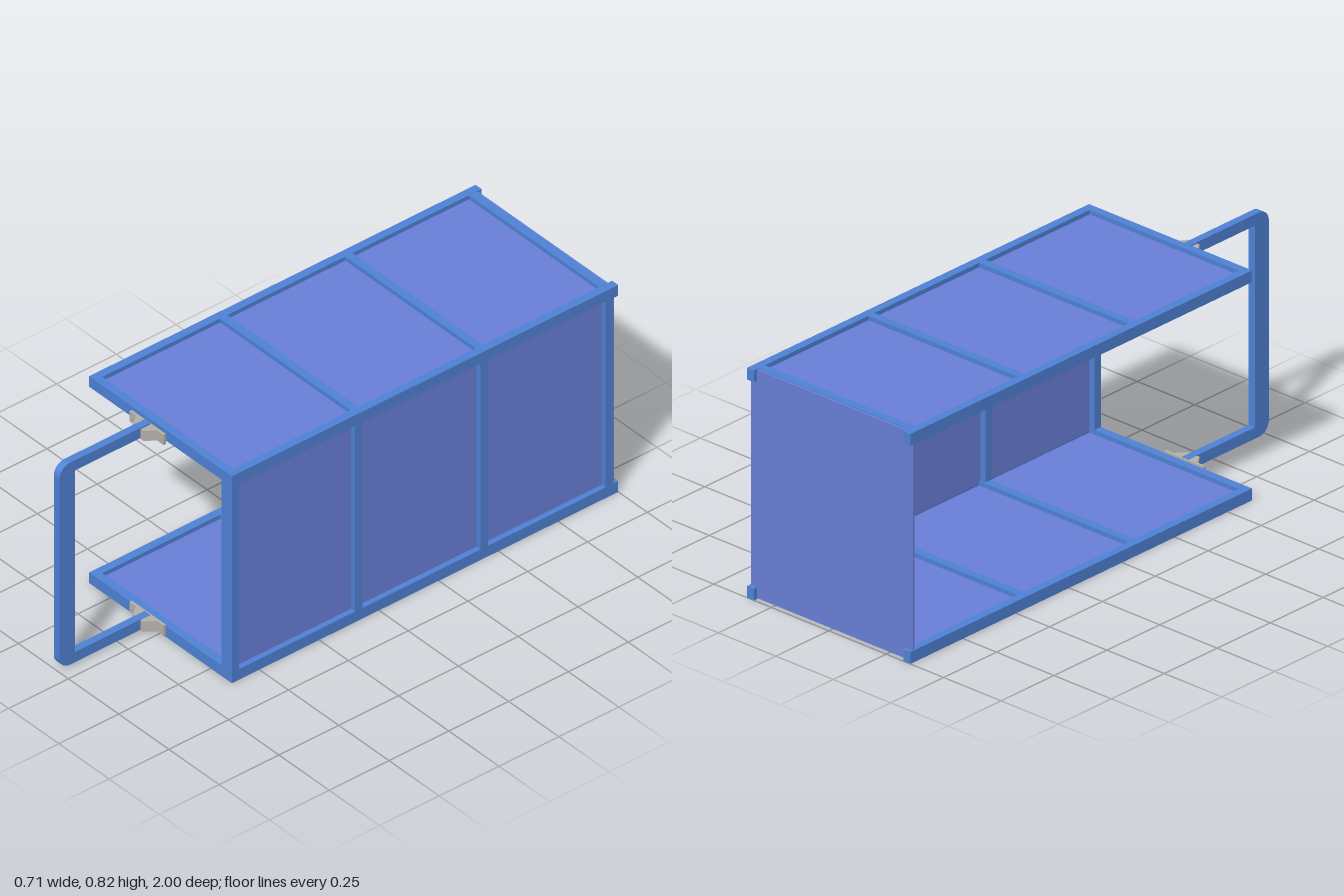
import * as THREE from 'three';

const frameMat = new THREE.MeshStandardMaterial({ color: 0x4f82d6 });
const panelMat = new THREE.MeshStandardMaterial({ color: 0x6a7fd8 });
const bracketMat = new THREE.MeshStandardMaterial({ color: 0xb4b1aa });

const W = 0.355, H = 0.82, FRONT = 0.615, BACK = -0.985, BAR = 0.03, RAIL = 0.042;

// Box given by its minimum and maximum corners
function box(parent, name, mat, [x0, y0, z0], [x1, y1, z1]) {
  const mesh = new THREE.Mesh(new THREE.BoxGeometry(x1 - x0, y1 - y0, z1 - z0), mat);
  mesh.position.set((x0 + x1) / 2, (y0 + y1) / 2, (z0 + z1) / 2);
  mesh.name = name;
  parent.add(mesh);
}

// Horizontal frame with two long rails, cross bars and recessed sheet
function deck(name, y) {
  const g = new THREE.Group();
  g.name = name;
  for (const [x0, x1] of [[-W, BAR - W], [W - BAR, W]])
    box(g, 'longRail', frameMat, [x0, y, -1], [x1, y + RAIL, FRONT]);
  for (const z of [FRONT - BAR, 0.063, -0.46, BACK + 0.008])
    box(g, 'crossBar', frameMat, [BAR - W, y, z], [W - BAR, y + RAIL, z + BAR]);
  box(g, 'deckPanel', panelMat, [BAR - W, y + 0.016, BACK + 0.02], [W - BAR, y + 0.026, FRONT - 0.02]);
  return g;
}

// Closed side on the left
function sideWall() {
  const g = new THREE.Group();
  g.name = 'sideWall';
  for (const z of [FRONT - BAR, 0.07, -0.455, BACK + 0.008])
    box(g, 'sidePost', frameMat, [W - 0.052, RAIL, z], [W, H - RAIL, z + BAR]);
  box(g, 'sidePanel', panelMat, [W - 0.03, RAIL - 0.01, BACK + 0.02], [W - 0.02, H - RAIL + 0.01, FRONT - 0.02]);
  return g;
}

// Flat U-shaped handle with rounded outer corners
function handle() {
  const z0 = 0.62, z1 = 1, y0 = 0.01, y1 = 0.81, t = 0.04, inner = 0.935, r = 0.045;
  const s = new THREE.Shape();
  s.moveTo(z0, y0);
  s.lineTo(z1 - r, y0);
  s.absarc(z1 - r, y0 + r, r, -Math.PI / 2, 0, false);
  s.lineTo(z1, y1 - r);
  s.absarc(z1 - r, y1 - r, r, 0, Math.PI / 2, false);
  s.lineTo(z0, y1);
  s.lineTo(z0, y1 - t);
  s.lineTo(inner, y1 - t);
  s.lineTo(inner, y0 + t);
  s.lineTo(z0, y0 + t);
  s.closePath();
  const geo = new THREE.ExtrudeGeometry(s, { depth: 0.028, bevelEnabled: false, curveSegments: 8 });
  geo.rotateY(-Math.PI / 2).translate(-0.045, 0, 0);
  const mesh = new THREE.Mesh(geo, frameMat);
  mesh.name = 'handle';
  return mesh;
}

// Hat-shaped clamp with a bolt in each flange
function bracket(y) {
  const g = new THREE.Group();
  g.name = 'handleBracket';
  const half = [[0.085, 0], [0.085, 0.01], [0.052, 0.01], [0.027, 0.045]];
  const pts = [...half.map(([x, z]) => [x, z]), ...half.map(([x, z]) => [-x, z]).reverse()];
  const shape = new THREE.Shape(pts.map(([x, z]) => new THREE.Vector2(x, z)));
  const geo = new THREE.ExtrudeGeometry(shape, { depth: 0.04, bevelEnabled: false });
  geo.rotateX(Math.PI / 2).translate(0, 0.02, 0);
  const clamp = new THREE.Mesh(geo, bracketMat);
  clamp.name = 'clamp';
  g.add(clamp);
  for (const x of [-0.072, 0.072]) {
    const bolt = new THREE.Mesh(new THREE.CylinderGeometry(0.005, 0.005, 0.012, 12), bracketMat);
    bolt.rotation.x = Math.PI / 2;
    bolt.position.set(x, 0, 0.006);
    bolt.name = 'bolt';
    g.add(bolt);
  }
  g.position.set(-0.058, y, FRONT);
  return g;
}

export function createModel() {
  const model = new THREE.Group();
  model.name = 'panelledFrame';
  model.add(deck('bottomDeck', 0), deck('topDeck', H - RAIL), sideWall());

  // Sheet closing the back, between the protruding rail ends
  box(model, 'backPanel', panelMat, [-W + 0.003, 0.003, BACK], [W - 0.003, H - 0.003, BACK + 0.009]);

  model.add(handle(), bracket(0.029), bracket(0.785));
  return model;
}
